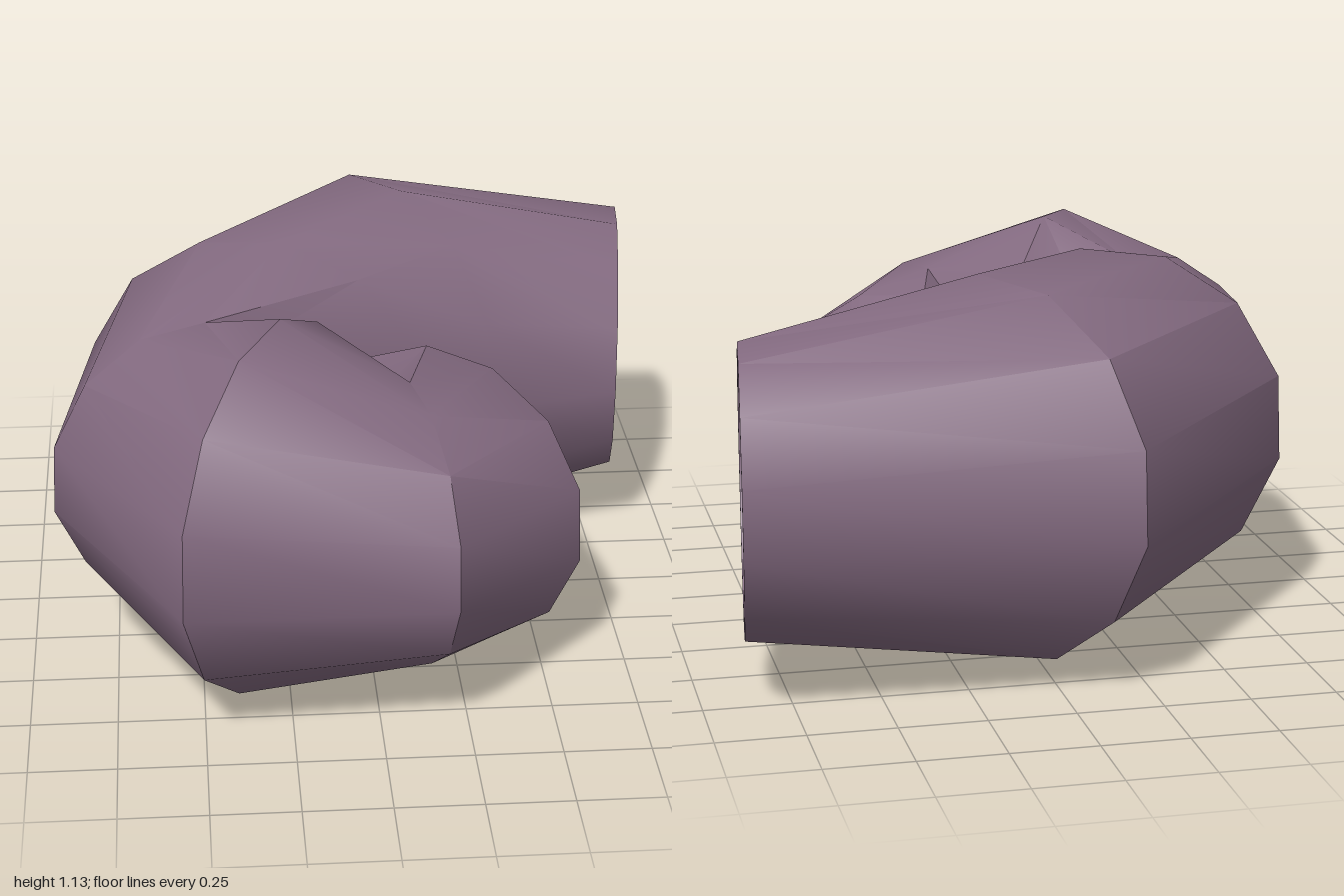
import * as THREE from 'three';
import { toCreasedNormals } from 'three/addons/utils/BufferGeometryUtils.js';

const SIDES = 13;
const START = 16 * Math.PI / 180;

// Upright rings along the coil: centre x, y, z, radius, and outward direction (x, z)
const RINGS = [
  // funnel inside the mouth
  [0.15, 0.665, -0.515, 0, 0, -1],
  [0.15, 0.665, -0.515, 0.175, 0, -1],
  [0.86, 0.58, -0.595, 0.378, 0.12, -0.99],
  // mouth rim
  [0.86, 0.58, -0.595, 0.415, 0.12, -0.99],
  // coiled body
  [0.113, 0.585, -0.553, 0.56, -0.556, -0.83],
  [-0.31, 0.597, -0.133, 0.533, -0.958, -0.287],
  [-0.53, 0.595, 0.251, 0.425, -0.93, 0.365],
  [-0.30, 0.575, 0.535, 0.55, -0.475, 0.88],
  [0.113, 0.545, 0.606, 0.41, 0.22, 0.975],
  [0.233, 0.468, 0.282, 0.465, 0.8, 0.6],
  // closed tail
  [0.36, 0.475, -0.10, 0.177, 0.975, 0.22],
  [0.36, 0.475, -0.10, 0, 0.975, 0.22],
];

// Joins successive rings into one closed skin; rings of radius 0 make the end caps
function loftRings(rings) {
  const positions = [], index = [];
  for (const [x, y, z, r, dx, dz] of rings) {
    const len = Math.hypot(dx, dz);
    for (let j = 0; j < SIDES; j++) {
      const angle = START + j * 2 * Math.PI / SIDES;
      const out = r * Math.cos(angle) / len;
      positions.push(x + out * dx, y + r * Math.sin(angle), z + out * dz);
    }
  }
  for (let i = 0; i < rings.length - 1; i++) {
    for (let j = 0; j < SIDES; j++) {
      const k = (j + 1) % SIDES;
      const a = i * SIDES + j, b = i * SIDES + k;
      const c = a + SIDES, d = b + SIDES;
      if (rings[i][3] > 0) index.push(a, c, b);
      if (rings[i + 1][3] > 0) index.push(b, c, d);
    }
  }
  const geometry = new THREE.BufferGeometry();
  geometry.setAttribute('position', new THREE.Float32BufferAttribute(positions, 3));
  geometry.setIndex(index);
  return toCreasedNormals(geometry, 0.62);
}

export function createModel() {
  const group = new THREE.Group();
  group.name = 'coiledShell';
  const material = new THREE.MeshStandardMaterial({ color: 0x836a80 });
  const shell = new THREE.Mesh(loftRings(RINGS), material);
  shell.name = 'shell';
  group.add(shell);
  return group;
}
